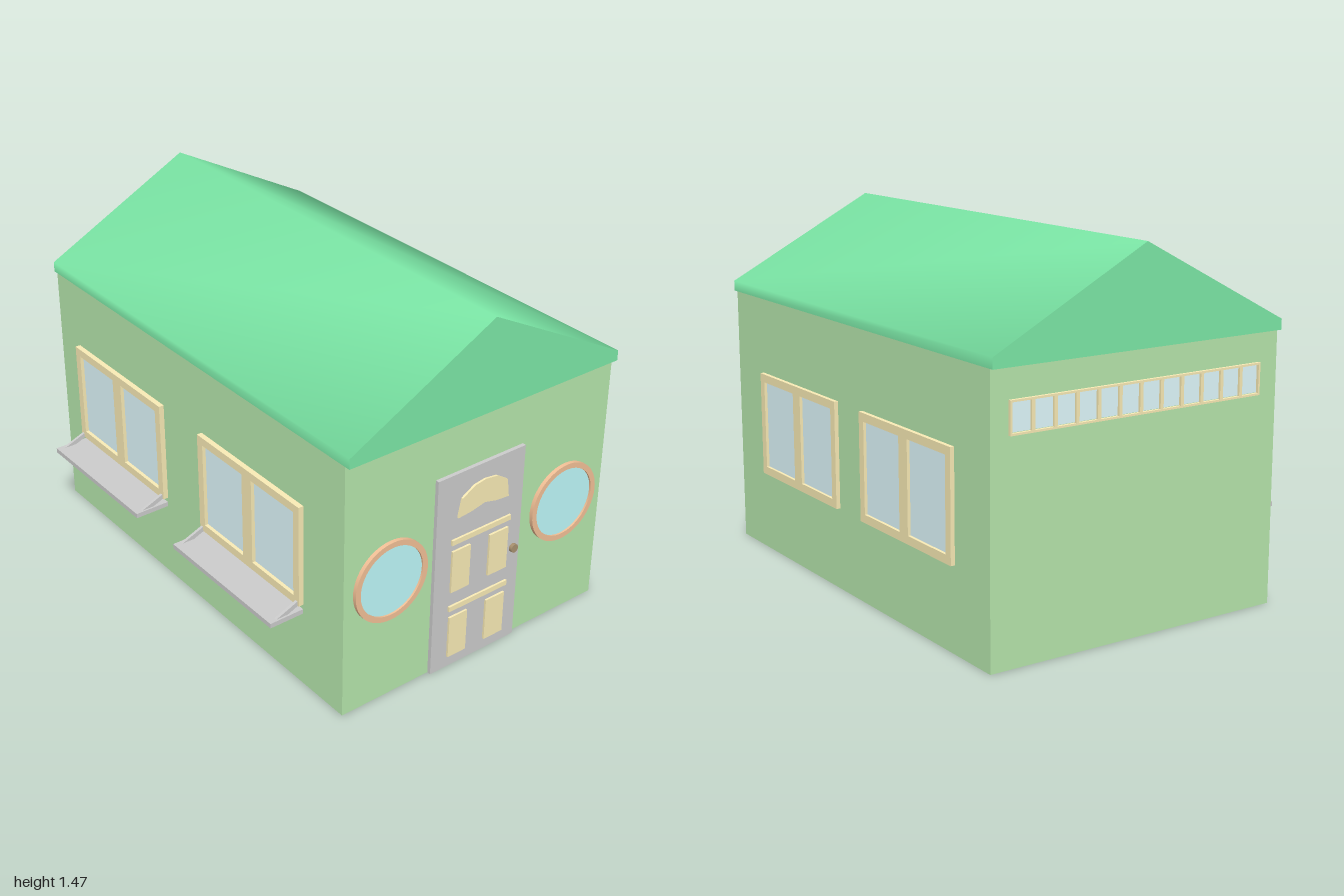
import * as THREE from 'three';
import { toCreasedNormals } from 'three/addons/utils/BufferGeometryUtils.js';

const material = (color) => new THREE.MeshStandardMaterial({ color });
const WALL = material(0xb6e6ac), ROOF = material(0x7ce8a7), GREY = material(0xcccccc);
const CREAM = material(0xf9ebb5), PANE = material(0xe0f9fd);
const RING = material(0xf3c197), GLASS = material(0xbef9fa), KNOB = material(0xa8916f);

function add(parent, name, geometry, mat) {
  const mesh = new THREE.Mesh(geometry, mat);
  mesh.name = name;
  parent.add(mesh);
  return mesh;
}

// Box given by its lower and upper corner
function block(parent, name, mat, [x0, y0, z0], [x1, y1, z1]) {
  const mesh = add(parent, name, new THREE.BoxGeometry(x1 - x0, y1 - y0, z1 - z0), mat);
  mesh.position.set((x0 + x1) / 2, (y0 + y1) / 2, (z0 + z1) / 2);
  return mesh;
}

const polygon = (points) => new THREE.Shape(points.map(([x, y]) => new THREE.Vector2(x, y)));
const extrude = (shape, depth, curveSegments = 32) =>
  new THREE.ExtrudeGeometry(shape, { depth, bevelEnabled: false, curveSegments });
const rect = (x0, y0, x1, y1) => [[x0, y0], [x1, y0], [x1, y1], [x0, y1]];

// Framed window around its own centre, facing +z, with a row of equal panes
function framedWindow(name, width, height, depth, count, border, mullion) {
  const group = new THREE.Group();
  group.name = name;
  const w = width / 2, h = height / 2;
  const frame = polygon(rect(-w, -h, w, h));
  const pane = (width - 2 * border - (count - 1) * mullion) / count;
  for (let i = 0; i < count; i++) {
    const x = -w + border + i * (pane + mullion);
    frame.holes.push(polygon(rect(x, -h + border, x + pane, h - border).reverse()));
  }
  add(group, 'windowFrame', extrude(frame, depth), CREAM);
  block(group, 'windowPanes', PANE, [-w + 0.01, -h + 0.01, 0], [w - 0.01, h - 0.01, depth * 0.4]);
  return group;
}

// Grey ledge under a window on the right wall, held by a sloping brace at each end
function ledge(z0, z1) {
  const group = new THREE.Group();
  group.name = 'windowLedge';
  block(group, 'ledgeBoard', GREY, [-0.735, 0.33, z0], [-0.585, 0.35, z1]);
  const brace = polygon([[-0.705, 0.349], [-0.652, 0.349], [-0.585, 0.376], [-0.585, 0.397]]);
  for (const z of [z0 + 0.008, z1 - 0.02]) {
    add(group, 'ledgeBrace', extrude(brace, 0.012), GREY).position.z = z;
  }
  return group;
}

function door() {
  const group = new THREE.Group();
  group.name = 'door';
  block(group, 'doorSlab', GREY, [-0.165, 0, 0.96], [0.265, 0.87, 0.986]);
  // Raised panels in two rows, each under a bar
  for (const y of [0.05, 0.352]) {
    for (const [x0, x1] of [[-0.086, 0.004], [0.101, 0.196]]) {
      block(group, 'doorPanel', CREAM, [x0, y, 0.98], [x1, y + 0.185, 0.995]);
    }
    block(group, 'doorBar', CREAM, [-0.09, y + 0.215, 0.98], [0.205, y + 0.237, 0.995]);
  }
  // Fan light
  const fan = polygon([
    [-0.066, 0.681], [0, 0.687], [0.063, 0.701], [0.12, 0.687], [0.185, 0.681], [0.174, 0.76],
    [0.12, 0.795], [0.063, 0.803], [0.01, 0.795], [-0.05, 0.76],
  ]);
  add(group, 'fanLight', extrude(fan, 0.015), CREAM).position.z = 0.98;
  const knob = add(group, 'doorKnob', new THREE.CylinderGeometry(0.018, 0.018, 0.02, 20), KNOB);
  knob.rotation.x = Math.PI / 2;
  knob.position.set(0.232, 0.425, 0.99);
  return group;
}

function roundWindow(x) {
  const group = new THREE.Group();
  group.name = 'roundWindow';
  const ring = new THREE.Shape().absarc(0, 0, 0.17, 0, Math.PI * 2);
  ring.holes.push(new THREE.Path().absarc(0, 0, 0.147, 0, Math.PI * 2, true));
  add(group, 'roundFrame', toCreasedNormals(extrude(ring, 0.02), 0.6), RING);
  const glass = add(group, 'roundGlass', new THREE.CylinderGeometry(0.15, 0.15, 0.01, 48), GLASS);
  glass.rotation.x = Math.PI / 2;
  glass.position.z = 0.007;
  group.position.set(x, 0.525, 0.966);
  return group;
}

export function createModel() {
  const house = new THREE.Group();
  house.name = 'house';
  block(house, 'walls', WALL, [-0.583, 0, -0.98], [0.713, 1.09, 0.97]);

  // Gable roof, shaded softly over ridge and eaves
  const gable = polygon([[-0.585, 1.085], [0.715, 1.085], [0.715, 1.127], [0.065, 1.466], [-0.585, 1.127]]);
  const roof = add(house, 'roof', toCreasedNormals(extrude(gable, 1.995), 1.2), ROOF);
  roof.position.z = -1;

  house.add(door(), roundWindow(-0.37), roundWindow(0.5));

  // Side windows
  for (const z of [0.411, -0.431]) {
    const left = framedWindow('leftWindow', 0.648, 0.434, 0.02, 2, 0.034, 0.06);
    left.position.set(0.71, 0.553, z);
    left.rotation.y = Math.PI / 2;
    const right = framedWindow('rightWindow', 0.648, 0.434, 0.025, 2, 0.034, 0.06);
    right.position.set(-0.58, 0.587, z - (z < 0 ? 0.074 : 0));
    right.rotation.y = -Math.PI / 2;
    house.add(left, right, ledge(right.position.z - 0.324, right.position.z + 0.324));
  }

  // Long strip window high on the back wall
  const strip = framedWindow('backWindow', 1.13, 0.125, 0.016, 12, 0.008, 0.014);
  strip.position.set(0.072, 0.907, -0.976);
  strip.rotation.y = Math.PI;
  house.add(strip);
  return house;
}
